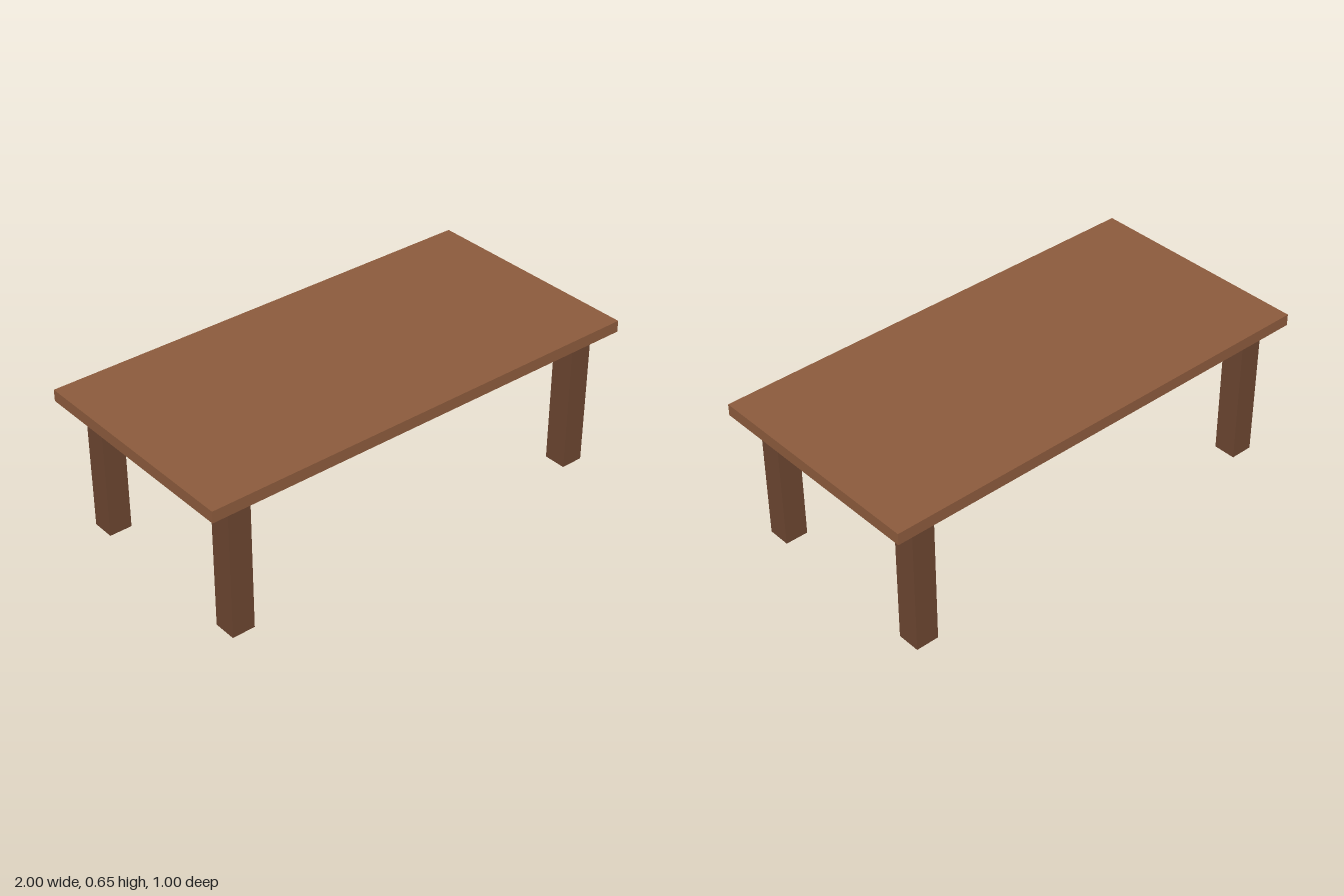
import * as THREE from 'three';

// Adds a named box whose underside sits at height y
function addBox(parent, name, [w, h, d], [x, y, z], material) {
  const mesh = new THREE.Mesh(new THREE.BoxGeometry(w, h, d), material);
  mesh.name = name;
  mesh.position.set(x, y + h / 2, z);
  parent.add(mesh);
}

export function createModel() {
  const table = new THREE.Group();
  table.name = 'table';
  const topWood = new THREE.MeshStandardMaterial({ color: 0x8b5a3c });
  const legWood = new THREE.MeshStandardMaterial({ color: 0x6b4530 });

  const legHeight = 0.592;
  const gap = 0.005; // thin gap between legs and top

  // Tabletop slab
  addBox(table, 'tabletop', [2, 0.05, 1], [0, legHeight + gap, 0], topWood);

  // Four square legs, set in from the corners
  for (const [side, x] of [['Left', 0.85], ['Right', -0.85]]) {
    for (const [end, z] of [['front', 0.4], ['back', -0.4]]) {
      addBox(table, `${end}${side}Leg`, [0.1, legHeight, 0.1], [x, 0, z], legWood);
    }
  }
  return table;
}
